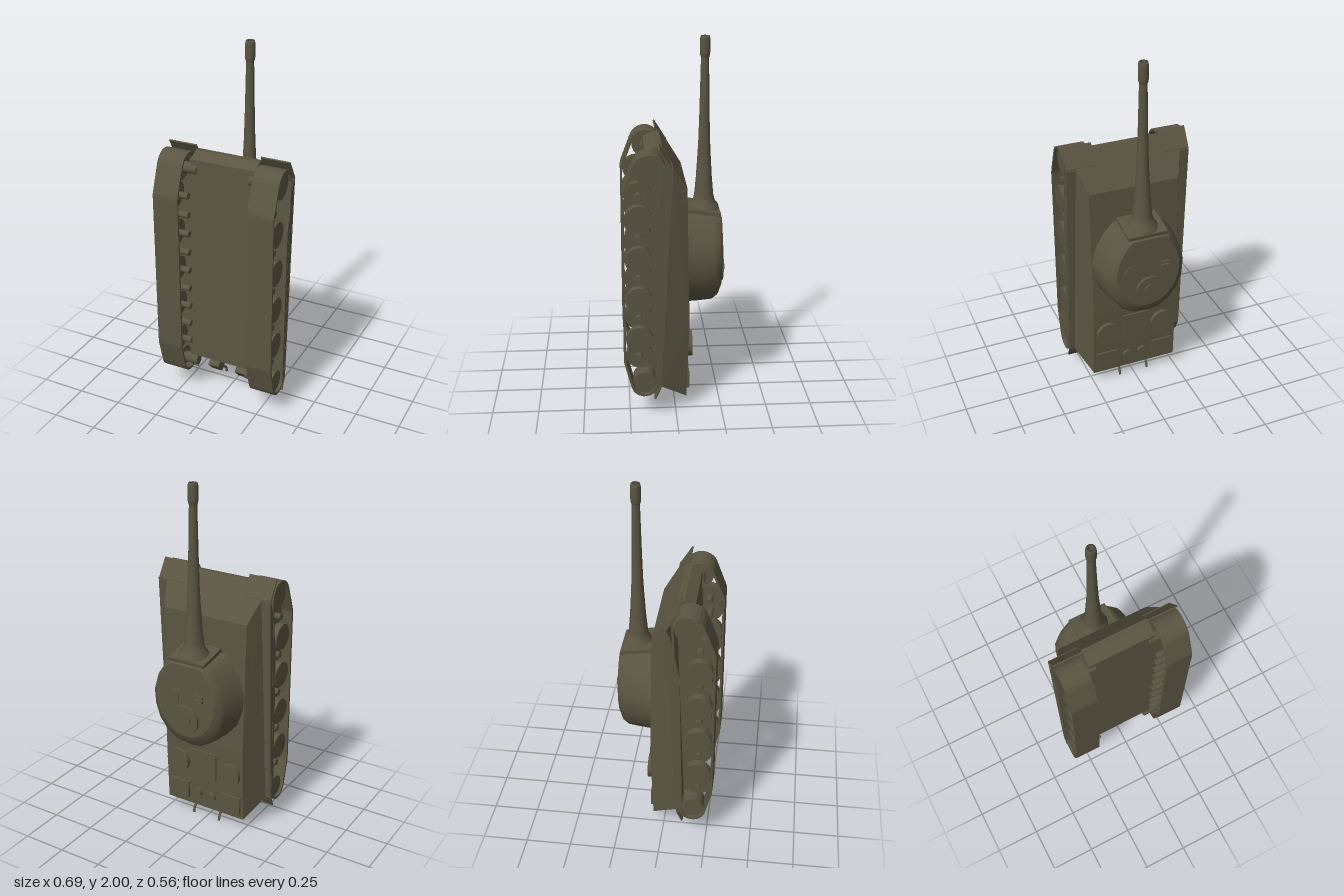
import * as THREE from 'three';
import { ConvexGeometry } from 'three/addons/geometries/ConvexGeometry.js';

const olive = new THREE.MeshStandardMaterial({ color: 0x5a5542 });
olive.name = 'olive drab';

// Built with y up and z forward, then tipped on its tail at the end.
export function createModel() {
  const root = new THREE.Group();
  const tank = new THREE.Group();
  tank.name = 'tank';
  tank.rotation.x = -Math.PI / 2;
  root.add(tank);

  const add = (name, geo, x = 0, y = 0, z = 0) => {
    const m = new THREE.Mesh(geo, olive);
    m.name = name;
    m.position.set(x, y, z);
    tank.add(m);
    return m;
  };
  const box = (name, w, h, d, x, y, z) => add(name, new THREE.BoxGeometry(w, h, d), x, y, z);
  const disc = (name, r, h, x, y, z) => add(name, new THREE.CylinderGeometry(r, r, h, 24), x, y, z);
  const axle = (name, r, w, x, y, z) => {
    disc(name, r, w, x, y, z).rotation.z = Math.PI / 2;
  };
  // side profile of [z, y] points, extruded across x
  const profile = (name, pts, xc, width, holePts) => {
    const shape = new THREE.Shape(pts.map(p => new THREE.Vector2(...p)));
    if (holePts) shape.holes.push(new THREE.Path(holePts.map(p => new THREE.Vector2(...p))));
    const g = new THREE.ExtrudeGeometry(shape, { depth: width, bevelEnabled: false });
    g.rotateY(-Math.PI / 2);
    g.translate(xc + width / 2, 0, 0);
    return add(name, g);
  };
  // thin plate between two [z, y] points
  const plate = (name, a, b, xc, width, t = 0.008) => {
    const len = Math.hypot(b[0] - a[0], b[1] - a[1]);
    const m = box(name, width, t, len, xc, (a[1] + b[1]) / 2, (a[0] + b[0]) / 2);
    m.rotation.x = -Math.atan2(b[1] - a[1], b[0] - a[0]);
  };

  // Hull: sloped upper body over a narrow lower tub
  const upper = [];
  for (const s of [-1, 1]) {
    for (const [x, y, z] of [[0.255, 0.06, 1.26], [0.295, -0.02, 1.387], [0.25, 0.075, 0.5],
      [0.25, 0.06, 0.07], [0.315, -0.08, 0.165]]) upper.push(new THREE.Vector3(s * x, y, z));
  }
  add('upperHull', new ConvexGeometry(upper));
  profile('lowerHull', [[0.24, -0.19], [1.43, -0.155], [1.46, -0.10], [1.46, -0.066],
    [1.26, 0.06], [0.09, 0.03]], 0, 0.37);

  // Running gear
  const arcs = [[0.2, -0.17, 0.062, 90, 254], [0.34, -0.196, 0.072, 254, 270],
    [1.235, -0.196, 0.072, 270, 292], [1.374, -0.14, 0.075, 292, 452]];
  const loop = off => arcs.flatMap(([z, y, r, a0, a1]) => {
    const n = Math.max(2, Math.round((a1 - a0) / 16));
    return Array.from({ length: n + 1 }, (_, i) => {
      const a = (a0 + (a1 - a0) * i / n) * Math.PI / 180;
      return [z + (r + off) * Math.cos(a), y + (r + off) * Math.sin(a)];
    });
  });
  for (const s of [-1, 1]) {
    profile('track', loop(0.012), s * 0.2735, 0.147, loop(0));
    axle('driveWheel', 0.074, 0.09, s * 0.285, -0.14, 1.374);
    axle('idlerWheel', 0.061, 0.09, s * 0.285, -0.17, 0.2);
    axle('driveAxle', 0.03, 0.1, s * 0.2, -0.14, 1.374);
    axle('idlerAxle', 0.03, 0.1, s * 0.2, -0.17, 0.2);
    for (let i = 0; i < 9; i++) {
      const z = 0.34 + i * 0.1119, outer = i % 2 === 1;
      axle('roadWheel', 0.071, 0.04, s * (outer ? 0.315 : 0.265), -0.196, z);
      axle('wheelHub', 0.018, 0.14, s * 0.25, -0.196, z);
    }
    // Fender, skirt and flaps
    plate('fender', [0.17, -0.085], [1.387, -0.022], s * 0.266, 0.162);
    plate('frontFlap', [1.375, -0.02], [1.485, -0.088], s * 0.266, 0.162);
    plate('rearFlap', [0.175, -0.085], [0.108, -0.115], s * 0.266, 0.162);
    profile('skirt', [[0.17, -0.085], [0.17, -0.115], [1.1, -0.095], [1.34, -0.045], [1.387, -0.022]],
      s * 0.342, 0.008);
    // Exhausts
    plate('exhaustBox', [0.165, -0.10], [0.11, -0.05], s * 0.085, 0.065, 0.06);
    const path = new THREE.CatmullRomCurve3([[-0.075, 0.13], [-0.02, 0.075], [0.03, 0.045], [0.043, 0.03], [0.05, 0.002]]
      .map(([y, z]) => new THREE.Vector3(s * 0.085, y, z)));
    add('exhaustPipe', new THREE.TubeGeometry(path, 16, 0.007, 10));
    // Engine deck
    disc('fanCover', 0.07, 0.03, s * 0.165, 0.079, 0.35);
    box('rearGrille', 0.13, 0.025, 0.1, s * 0.17, 0.064, 0.16);
    disc('fillerCap', 0.028, 0.03, s * 0.045, 0.069, 0.16);
  }
  box('engineHatch', 0.16, 0.025, 0.17, 0, 0.07, 0.36);

  // Turret: rounded plan shape lofted upwards and drawn in at the roof
  const half = [[0.08, 0.56], [0.15, 0.6], [0.21, 0.67], [0.243, 0.76], [0.25, 0.85],
    [0.22, 0.95], [0.165, 1.03], [0.125, 1.07]];
  const plan = [[0, 0.55], ...half, ...half.map(([x, z]) => [-x, z]).reverse()];
  // height, x scale, length scale, front position
  const levels = [[0.05, 1.02, 1, 1.075], [0.07, 1, 1, 1.07], [0.14, 0.945, 0.985, 1.065], [0.21, 0.89, 0.965, 1.06],
    [0.24, 0.83, 0.91, 1.055], [0.258, 0.72, 0.8, 1.045]];
  const pos = [], idx = [], n = plan.length;
  const ring = ([y, sx, sz, front]) => plan.forEach(([x, z]) => pos.push(x * sx, y, front + (z - 1.07) * sz));
  levels.forEach(ring);
  for (let l = 0; l < levels.length - 1; l++) {
    for (let i = 0; i < n; i++) {
      const a = l * n + i, b = l * n + (i + 1) % n;
      idx.push(a, a + n, b, b, a + n, b + n);
    }
  }
  const r0 = pos.length / 3;
  ring(levels[levels.length - 1]);
  pos.push(0, 0.258, 0.85);
  for (let i = 0; i < n; i++) idx.push(r0 + n, r0 + (i + 1) % n, r0 + i);
  const tg = new THREE.BufferGeometry();
  tg.setAttribute('position', new THREE.Float32BufferAttribute(pos, 3));
  tg.setIndex(idx);
  tg.computeVertexNormals();
  add('turret', tg);

  // Roof fittings
  disc('cupola', 0.08, 0.03, -0.005, 0.26, 0.735);
  disc('cupolaHatch', 0.036, 0.02, -0.005, 0.273, 0.735);
  disc('loaderHatch', 0.052, 0.02, 0.09, 0.255, 0.85);
  for (const z of [0.865, 0.89]) box('periscope', 0.045, 0.02, 0.014, -0.09, 0.262, z);

  // Gun with flared mantlet and muzzle sleeve
  plate('mantletPlate', [1.092, 0.072], [1.062, 0.25], 0, 0.22, 0.02);
  const gun = [[0.085, 1.07], [0.078, 1.095], [0.06, 1.12], [0.052, 1.15], [0.043, 1.25], [0.035, 1.38],
    [0.031, 1.46], [0.027, 1.6], [0.021, 1.89]];
  const lathe = (name, pts, seg) => {
    const g = new THREE.LatheGeometry(pts.map(p => new THREE.Vector2(...p)), seg);
    g.rotateX(Math.PI / 2);
    add(name, g, 0, 0.167, 0);
  };
  lathe('gunBarrel', gun, 20);
  const sleeve = [[0.02, 1.885], [0.025, 1.9], [0.027, 1.915], [0.027, 1.985], [0.023, 2], [0.012, 2], [0.012, 1.93], [0, 1.93]];
  lathe('muzzleSleeve', sleeve, 12);
  return root;
}
